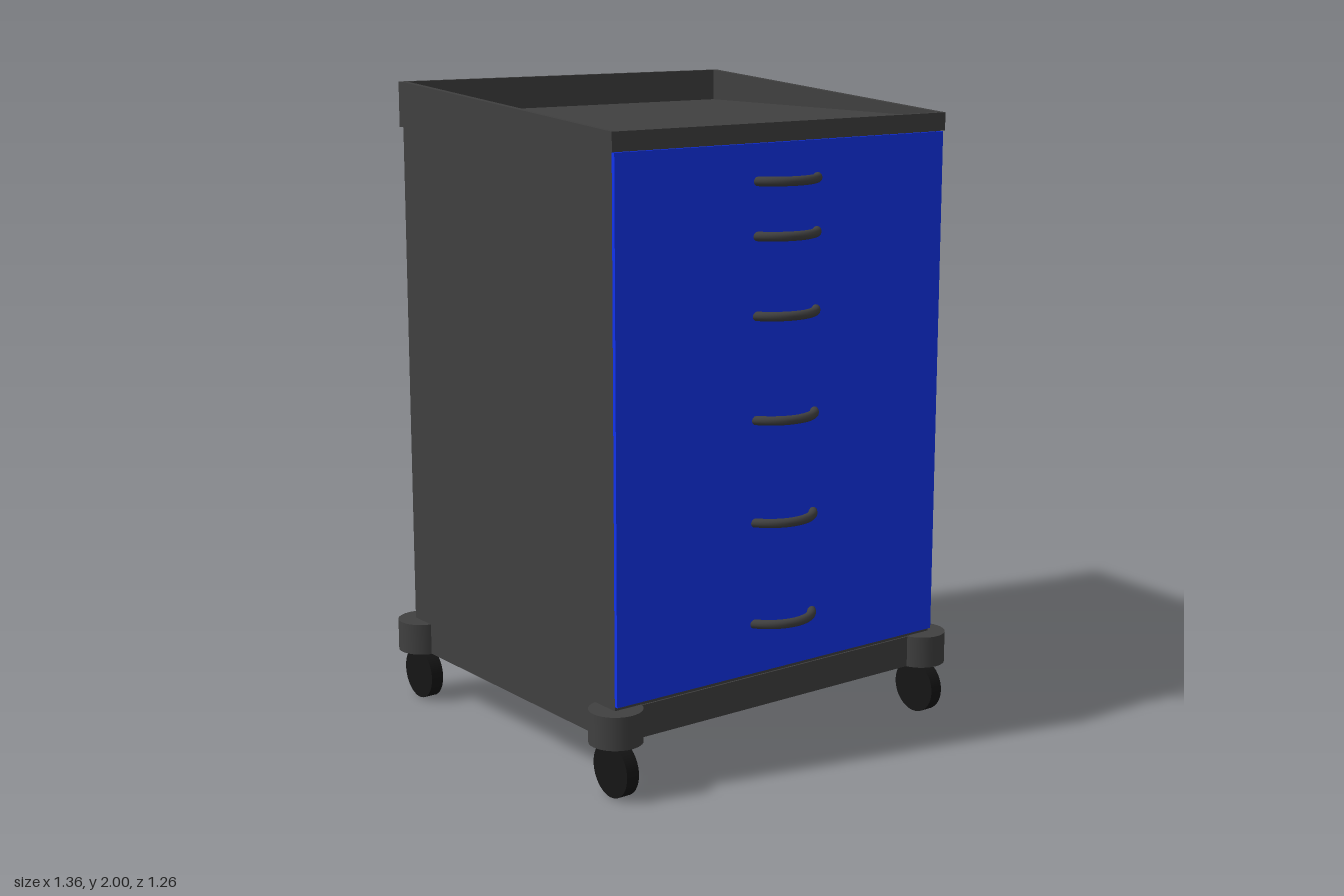
import * as THREE from 'three';

const dark = new THREE.MeshStandardMaterial({ color: 0x404040 });
const blue = new THREE.MeshStandardMaterial({ color: 0x1133ee });
const rubber = new THREE.MeshStandardMaterial({ color: 0x151515 });

function add(parent, name, geometry, material, x = 0, y = 0, z = 0) {
  const mesh = new THREE.Mesh(geometry, material);
  mesh.name = name;
  mesh.position.set(x, y, z);
  parent.add(mesh);
  return mesh;
}

// Box given by its lower and upper corners
function addBox(parent, name, material, [x0, y0, z0], [x1, y1, z1]) {
  const geometry = new THREE.BoxGeometry(x1 - x0, y1 - y0, z1 - z0);
  return add(parent, name, geometry, material, (x0 + x1) / 2, (y0 + y1) / 2, (z0 + z1) / 2);
}

// Half-ring pull that bows out of a drawer front
class PullCurve extends THREE.Curve {
  getPoint(t, target = new THREE.Vector3()) {
    const a = THREE.MathUtils.lerp(-1.05, 1.05, t);
    return target.set(0.135 * Math.sin(a), 0, 0.135 * Math.cos(a));
  }
}

function createTray() {
  const tray = new THREE.Group();
  tray.name = 'topTray';
  const w = 0.625, t = 0.02, front = 0.557, back = -0.576;
  const bottom = 1.86, frontTop = 1.915, floor = 1.9;

  addBox(tray, 'trayFloor', dark, [-w + t, bottom, back + t], [w - t, floor, front - t]);
  addBox(tray, 'trayFrontRim', dark, [-w + t, bottom, front - t], [w - t, frontTop, front]);
  addBox(tray, 'trayBackRim', dark, [-w + t, bottom, back], [w - t, 2, back + t]);

  // Sloping side walls; profile is drawn in (-z, y)
  const profile = new THREE.Shape([
    new THREE.Vector2(-front, bottom),
    new THREE.Vector2(-back, bottom),
    new THREE.Vector2(-back, 2),
    new THREE.Vector2(-back - t, 2),
    new THREE.Vector2(-front, frontTop),
  ]);
  const side = new THREE.ExtrudeGeometry(profile, { depth: t, bevelEnabled: false });
  side.rotateY(Math.PI / 2);
  add(tray, 'traySideLeft', side, dark, w - t);
  add(tray, 'traySideRight', side, dark, -w);
  return tray;
}

function createDrawers() {
  const drawers = new THREE.Group();
  drawers.name = 'drawers';
  const edges = [0.278, 0.587, 0.896, 1.205, 1.514, 1.671, 1.858];
  const handleHeights = [0.432, 0.743, 1.052, 1.36, 1.592, 1.75];
  const pull = new THREE.TubeGeometry(new PullCurve(), 32, 0.014, 12);
  handleHeights.forEach((y, i) => {
    addBox(drawers, 'drawerFront', blue, [-0.617, edges[i], 0.545], [0.617, edges[i + 1], 0.557]);
    add(drawers, 'drawerHandle', pull, dark, 0, y, 0.481);
  });
  return drawers;
}

function createCasters() {
  const casters = new THREE.Group();
  casters.name = 'casters';
  const hub = new THREE.CylinderGeometry(0.08, 0.08, 0.1, 40);
  const wheel = new THREE.CylinderGeometry(0.083, 0.083, 0.042, 40).rotateZ(Math.PI / 2);
  for (const x of [-0.6, 0.6]) {
    for (const z of [-0.55, 0.526]) {
      add(casters, 'cornerBumper', hub, dark, x, 0.216, z);
      add(casters, 'wheel', wheel, rubber, x, 0.083, z);
    }
  }
  return casters;
}

export function createModel() {
  const model = new THREE.Group();
  model.name = 'drawerTrolley';
  addBox(model, 'base', dark, [-0.617, 0.167, -0.567], [0.617, 0.265, 0.55]);
  addBox(model, 'cabinet', dark, [-0.617, 0.265, -0.567], [0.617, 1.86, 0.545]);
  model.add(createDrawers(), createTray(), createCasters());
  return model;
}
